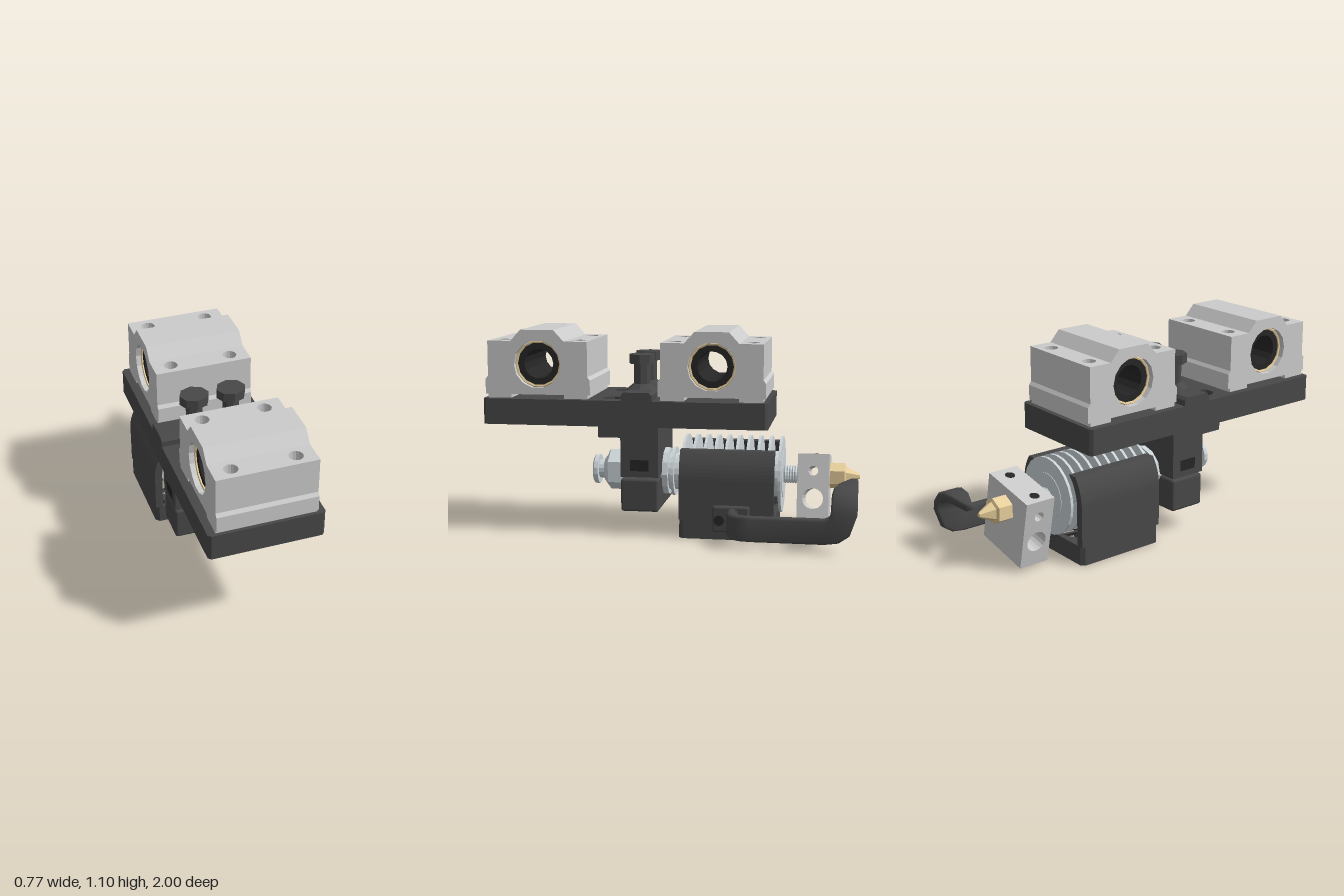
import * as THREE from 'three';
import { RoundedBoxGeometry } from 'three/addons/geometries/RoundedBoxGeometry.js';

const material = (color, flat = true) =>
  new THREE.MeshStandardMaterial({ color, flatShading: flat, side: THREE.DoubleSide });
const GREY = material(0xcccccc);
const DARK = material(0x484848);
const BLACK = material(0x262626);
const STEEL = material(0xccd4d8);
const BRASS = material(0xe8cf9c);
const AXIS_X = -0.09, AXIS_Y = 0.315; // hot end axis

export function createModel() {
  const model = new THREE.Group();

  function add(name, geometry, mat, x = 0, y = 0, z = 0, parent = model) {
    const mesh = new THREE.Mesh(geometry, mat);
    mesh.name = name;
    mesh.position.set(x, y, z);
    parent.add(mesh);
    return mesh;
  }
  const box = (name, x0, x1, y0, y1, z0, z1, mat, r = 0, parent = model) => {
    const s = [x1 - x0, y1 - y0, z1 - z0];
    const g = r ? new RoundedBoxGeometry(...s, 2, r) : new THREE.BoxGeometry(...s);
    return add(name, g, r ? material(mat.color, false) : mat, (x0 + x1) / 2, (y0 + y1) / 2, (z0 + z1) / 2, parent);
  };
  const circle = (x, y, r, n = 16, turn = 0) => new THREE.Path(Array.from({ length: n }, (_, i) => {
    const a = turn - (i / n) * Math.PI * 2;
    return new THREE.Vector2(x + r * Math.cos(a), y + r * Math.sin(a));
  }));
  const polygon = pts => new THREE.Shape(pts.map(p => new THREE.Vector2(...p)));
  const rect = (x0, x1, y0, y1, c = 0) => polygon(c
    ? [[x0 + c, y0], [x1 - c, y0], [x1, y0 + c], [x1, y1 - c], [x1 - c, y1], [x0 + c, y1], [x0, y1 - c], [x0, y0 + c]]
    : [[x0, y0], [x1, y0], [x1, y1], [x0, y1]]);
  const extrude = (shape, depth) => new THREE.ExtrudeGeometry(shape, { depth, bevelEnabled: false, curveSegments: 16 });
  // slab: drawn in x and z, pierced by holes given as paths, raised from y0 to y1
  const slab = (name, x0, x1, z0, z1, y0, y1, holes, mat, c = 0, parent = model) => {
    const shape = rect(x0, x1, -z1, -z0, c);
    shape.holes.push(...holes);
    return add(name, extrude(shape, y1 - y0).rotateX(-Math.PI / 2), mat, 0, y0, 0, parent);
  };
  // turned part along z: points are [radius, z]
  const turned = (name, pts, sides, mat, x = AXIS_X, y = AXIS_Y) => add(name,
    new THREE.LatheGeometry(pts.map(p => new THREE.Vector2(...p)), sides).rotateX(Math.PI / 2), mat, x, y, 0);

  // Carriage plate: countersunk below, hexagonal nut pockets above
  const boltX = [-0.25, 0.07], boltZ = [-0.44, -0.02, 0.49, 0.91], nutX = [-0.26, 0.08];
  const bolts = r => boltX.flatMap(x => boltZ.map(z => circle(x, -z, r)));
  const nuts = (r, n) => nutX.map(x => circle(x, -0.32, r, n));
  slab('carriagePlateTop', -0.385, 0.205, -0.525, 1, 0.665, 0.735, [...bolts(0.036), ...nuts(0.06, 6)], DARK, 0.015);
  slab('carriagePlateBottom', -0.385, 0.205, -0.525, 1, 0.597, 0.665, [...bolts(0.062), ...nuts(0.036, 16)], DARK, 0.015);
  const ridge = polygon([[-0.25, 0.73], [-0.085, 0.73], [-0.085, 0.765], [-0.1, 0.78], [-0.235, 0.78], [-0.25, 0.765]]);
  add('plateRidge', extrude(ridge, 0.59).rotateY(Math.PI / 2), DARK, -0.385);

  // Linear bearing housings
  for (const zc of [0.71, -0.225]) {
    const housing = new THREE.Group();
    housing.name = 'bearingHousing';
    housing.position.set(-0.09, 0, zc);
    model.add(housing);
    const core = polygon([[-0.145, 0.755], [0.145, 0.755], [0.145, 1.04], [0.09, 1.1], [-0.09, 1.1], [-0.145, 1.04]]);
    core.holes.push(circle(0, 0.917, 0.128, 14));
    add('housingCore', extrude(core, 0.51).rotateY(Math.PI / 2), GREY, -0.255, 0, 0, housing);
    for (const s of [-1, 1]) {
      const holes = () => [-0.16, 0.16].map(x => circle(x, -s * 0.208, 0.036));
      const wing = (name, out, y0, y1) => slab(name, -0.255, 0.255,
        Math.min(s * 0.145, s * out), Math.max(s * 0.145, s * out), y0, y1, holes(), GREY, 0, housing);
      wing('housingFoot', 0.272, 0.735, 0.755);
      wing('housingFlange', 0.286, 0.755, 0.835);
      wing('housingShoulder', 0.272, 0.835, 1.04);
      // sloped edge above the flange
      const slope = polygon([[s * 0.27, 0.835], [s * 0.286, 0.835], [s * 0.27, 0.855]]);
      add('flangeSlope', extrude(slope, 0.51).rotateY(Math.PI / 2), GREY, -0.255, 0, 0, housing);
    }
    const liner = [[0.08, -0.22], [0.118, -0.22], [0.118, 0.22], [0.08, 0.22], [0.08, -0.22]];
    add('bearingLiner', new THREE.LatheGeometry(liner.map(p => new THREE.Vector2(...p)), 14).rotateZ(Math.PI / 2),
      BLACK, 0, 0.917, 0, housing);
    for (const x of [-0.222, 0.222])
      add('bearingRing', new THREE.TorusGeometry(0.121, 0.008, 5, 14).rotateY(Math.PI / 2), BRASS, x, 0.917, 0, housing);
  }

  // Thumb screws on the ridge
  for (const x of [-0.185, 0.012]) {
    add('thumbScrewHead', new THREE.CylinderGeometry(0.07, 0.07, 0.05, 8).scale(1.1, 1, 1), DARK, x, 0.942, 0.17);
    add('thumbScrewStem', new THREE.CylinderGeometry(0.045, 0.045, 0.13, 8), DARK, x, 0.86, 0.17);
    add('thumbScrewCollar', new THREE.CylinderGeometry(0.048, 0.085, 0.03, 8), DARK, x, 0.793, 0.17);
  }

  // Split clamp under the plate
  slab('clampStep', -0.325, 0.147, 0.26, 0.385, 0.53, 0.6, nuts(0.036, 16), DARK);
  box('clampUpper', -0.325, 0.147, 0.319, 0.6, 0.06, 0.265, DARK);
  box('clampLower', -0.325, 0.147, 0.13, 0.309, 0.06, 0.265, DARK, 0.015);
  for (const x of [-0.322, 0.144]) {
    box('nutSlot', x - 0.004, x + 0.004, 0.352, 0.412, 0.112, 0.212, BLACK);
  }
  for (const x of [-0.255, 0.075])
    add('clampBoltHole', new THREE.CylinderGeometry(0.036, 0.036, 0.006, 16), BLACK, x, 0.13, 0.163);

  // Tube fitting at the front
  turned('mountFlange', [[0, 0.03], [0.13, 0.03], [0.13, 0.262], [0.122, 0.272], [0, 0.272]], 12, STEEL);
  turned('fittingHex', [[0, 0.26], [0.112, 0.26], [0.112, 0.365], [0.098, 0.375], [0, 0.375]], 6, STEEL);
  turned('fittingCollet', [[0.095, 0.37], [0.062, 0.395], [0.05, 0.395], [0.05, 0.425], [0.082, 0.425],
    [0.082, 0.447], [0.072, 0.455], [0.037, 0.455], [0.03, 0.44], [0, 0.44]], 14, STEEL);
  add('fittingBore', new THREE.CylinderGeometry(0.018, 0.018, 0.01, 10).rotateX(Math.PI / 2), BRASS, AXIS_X, AXIS_Y, 0.44);

  // Finned heat sink
  turned('heatSinkCore', [[0, 0.07], [0.102, 0.07], [0.102, -0.05], [0.125, -0.05], [0.125, -0.59], [0, -0.59]], 20, STEEL);
  const fin = (r, z) => add('heatSinkFin', new THREE.CylinderGeometry(r, r, 0.015, 24).rotateX(Math.PI / 2), STEEL, AXIS_X, AXIS_Y, z);
  fin(0.134, 0.005);
  for (let i = 0; i < 10; i++) fin(0.207, -0.062 - i * 0.0575);

  // Threaded heat break
  turned('heatBreak', [[0.036, -0.58], [0.036, -0.69]], 12, STEEL);
  for (let i = 0; i < 6; i++)
    add('heatBreakThread', new THREE.TorusGeometry(0.04, 0.009, 5, 14), STEEL, AXIS_X, AXIS_Y, -0.6 - i * 0.014);

  // Heater block, turned on the hot end axis
  const block = new THREE.Group();
  block.name = 'heaterBlock';
  block.position.set(0.055, 0.457, -0.757);
  block.rotation.z = 0.204;
  model.add(block);
  const side = rect(-0.083, 0.083, -0.375, 0);
  side.holes.push(circle(0, -0.237, 0.055, 18), circle(0, -0.09, 0.026, 12));
  add('heaterBody', extrude(side, 0.342).rotateY(Math.PI / 2), GREY, -0.342, 0, 0, block);
  for (const x of [-0.065, -0.285])
    add('setScrewHole', new THREE.CylinderGeometry(0.026, 0.026, 0.004, 14), BLACK, x, 0, 0, block);

  // Nozzle
  turned('nozzleHex', [[0, -0.83], [0.07, -0.83], [0.07, -0.918], [0.052, -0.925], [0.012, -1], [0, -1]], 6, BRASS);

  // Shroud: walls wrap the fins and leave the top open
  const arc = (r, from, to, n) => Array.from({ length: n + 1 }, (_, i) => {
    const a = from + (to - from) * i / n;
    return [r * Math.cos(a), AXIS_Y + r * Math.sin(a)];
  });
  for (const s of [-1, 1]) {
    const wall = [[0.255, 0.1], ...arc(0.255, 0, 0.65, 8), ...arc(0.214, 0.8, 0, 8), [0.214, 0.1]];
    add('shroudWall', extrude(polygon(wall.map(([x, y]) => [s * x, y])), 0.503), DARK, AXIS_X, 0, -0.556);
  }

  // Fan in the bottom of the shroud
  const fanZ = -0.305;
  const screws = [-0.212, 0.212].flatMap(x => [-0.212, 0.212].map(z => circle(AXIS_X + x, -fanZ + z, 0.022, 10)));
  slab('fanFrame', AXIS_X - 0.255, AXIS_X + 0.255, -0.556, -0.053, 0, 0.102,
    [circle(AXIS_X, -fanZ, 0.232, 28), ...screws], DARK, 0.02);
  add('fanHub', new THREE.CylinderGeometry(0.095, 0.095, 0.07, 20), DARK, AXIS_X, 0.05, fanZ);
  for (let i = 0; i < 9; i++) {
    const blade = new THREE.BoxGeometry(0.15, 0.008, 0.09).rotateX(0.6).translate(0.152, 0, 0).rotateY(i / 9 * Math.PI * 2);
    add('fanBlade', blade, DARK, AXIS_X, 0.052, fanZ);
  }

  // Duct bracket and its screw
  box('ductBracket', 0.15, 0.195, 0.045, 0.185, -0.43, -0.235, DARK, 0.012);
  add('ductScrew', new THREE.CylinderGeometry(0.028, 0.028, 0.012, 12).rotateZ(Math.PI / 2), BLACK, 0.196, 0.11, -0.272);

  // Cooling duct: [centre, half width, half thickness] at each station
  const stations = [
    [[0.17, 0.11, -0.345], [0, 0.066, 0], [0, 0, 0.026]],
    [[0.27, 0.11, -0.345], [0, 0.066, 0], [0, 0, 0.026]],
    [[0.315, 0.11, -0.36], [0, 0.066, 0], [0.013, 0, 0.023]],
    [[0.345, 0.11, -0.395], [0, 0.066, 0], [0.024, 0, 0.012]],
    [[0.355, 0.11, -0.45], [0, 0.066, 0], [0.026, 0, 0]],
    [[0.355, 0.11, -0.83], [0, 0.066, 0], [0.026, 0, 0]],
    [[0.355, 0.118, -0.875], [0, 0.064, 0.028], [0.026, 0, 0]],
    [[0.355, 0.142, -0.908], [0, 0.05, 0.05], [0.026, 0, 0]],
    [[0.355, 0.2, -0.928], [0, 0, 0.067], [0.026, 0, 0]],
    [[0.342, 0.245, -0.93], [0, 0, 0.067], [0.023, 0.012, 0]],
    [[0.312, 0.28, -0.93], [0, 0, 0.066], [0.014, 0.022, 0]],
    [[0.26, 0.3, -0.933], [0, 0, 0.062], [0.005, 0.025, 0]],
    [[0.19, 0.305, -0.942], [0, 0, 0.054], [0, 0.025, 0]],
    [[0.045, 0.308, -0.972], [0, 0, 0.02], [0, 0.02, 0]],
  ];
  const ring = [[1, -0.5], [1, 0.5], [0.8, 1], [-0.8, 1], [-1, 0.5], [-1, -0.5], [-0.8, -1], [0.8, -1]];
  const pos = [], index = [], n = ring.length;
  stations.forEach(([c, w, t], i) => {
    for (const [u, v] of ring) pos.push(...c.map((p, k) => p + u * w[k] + v * t[k]));
    for (let j = 0; i < stations.length - 1 && j < n; j++) {
      const a = i * n + j, b = i * n + (j + 1) % n;
      index.push(a, b, a + n, b, b + n, a + n);
    }
  });
  const last = (stations.length - 1) * n;
  for (let j = 1; j < n - 1; j++) index.push(0, j + 1, j, last, last + j, last + j + 1);
  const duct = new THREE.BufferGeometry();
  duct.setAttribute('position', new THREE.Float32BufferAttribute(pos, 3));
  duct.setIndex(index);
  duct.computeVertexNormals();
  add('coolingDuct', duct, material(0x484848, false));

  return model;
}
